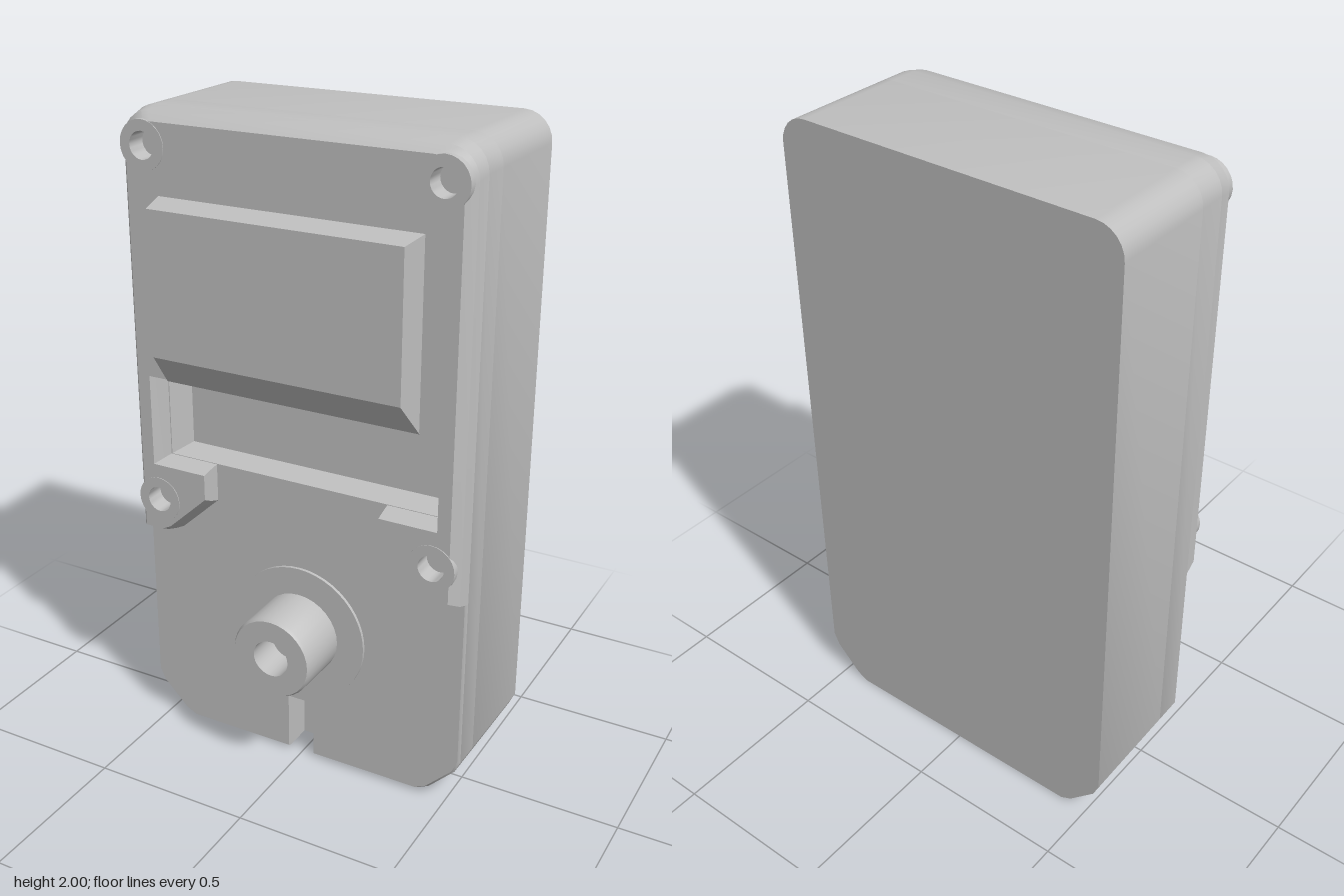
import * as THREE from 'three';
import { mergeGeometries, toCreasedNormals } from 'three/addons/utils/BufferGeometryUtils.js';

const housingGrey = new THREE.MeshStandardMaterial({ color: 0xbfbfbf });
housingGrey.name = 'housing grey';

// Mirror a right-hand half outline into a closed counter-clockwise loop
const mirror = half => [...half, ...half.slice().reverse().map(([x, y]) => [-x, y])];
const rect = (x, y0, y1) => [[-x, y0], [x, y0], [x, y1], [-x, y1]];

// Wall between loops, listed from back to front as [loop, z]
function skin(levels, inward = false) {
  const pos = [];
  for (let k = 0; k + 1 < levels.length; k++) {
    const [a, za] = levels[k], [b, zb] = levels[k + 1];
    for (let i = 0; i < a.length; i++) {
      const j = (i + 1) % a.length;
      const p = [...a[i], za], q = [...a[j], za], r = [...b[j], zb], s = [...b[i], zb];
      pos.push(...(inward ? [p, r, q, p, s, r] : [p, q, r, p, r, s]).flat());
    }
  }
  const g = new THREE.BufferGeometry();
  g.setAttribute('position', new THREE.Float32BufferAttribute(pos, 3));
  return g;
}

// Flat face filling a loop, with optional holes
function cap(loop, z, holes = [], back = false) {
  const shape = new THREE.Shape(loop.map(p => new THREE.Vector2(...p)));
  shape.holes = holes;
  const g = new THREE.ShapeGeometry(shape).toNonIndexed();
  if (back) g.rotateY(Math.PI);
  g.translate(0, 0, z);
  g.deleteAttribute('uv');
  g.deleteAttribute('normal');
  return g;
}

function mesh(name, parts) {
  const m = new THREE.Mesh(toCreasedNormals(mergeGeometries(parts), 0.5), housingGrey);
  m.name = name;
  return m;
}

// Turned part whose axis faces the front; profile is [radius, z]
function turned(name, profile, x, y, sides = 32) {
  const g = new THREE.LatheGeometry(profile.map(p => new THREE.Vector2(...p)), sides);
  g.rotateX(Math.PI / 2);
  const m = new THREE.Mesh(toCreasedNormals(g, 0.6), housingGrey);
  m.name = name;
  m.position.set(x, y, 0);
  return m;
}

// Rounded top corner, from the side round to the top edge
function corner(x, top, r, n = 6) {
  return Array.from({ length: n + 1 }, (_, i) => {
    const t = i / n * Math.PI / 2;
    return [x - r + r * Math.cos(t), top - r + r * Math.sin(t)];
  });
}

// Case outline: chamfered bottom corners, rounded top, optional bottom slot
function caseLoop(x, bottom, top, slotTop) {
  const slot = slotTop ? [[0.045, slotTop], [0.045, bottom]] : [];
  return mirror([...slot, [x - 0.135, bottom], [x - 0.1, bottom + 0.018],
    [x - 0.018, bottom + 0.1], [x, bottom + 0.14], ...corner(x, top, 0.085)]);
}

// Raised plate outline: arch with two ears around the open recess
function plateLoop(x, top, rx, ry0, ry1, ear, low) {
  return mirror([[rx, ry1], [rx, ry0], [ear, ry0], [ear, low + 0.135],
    [ear + 0.13, low + 0.015], [ear + 0.16, low], [x, low], ...corner(x, top, 0.085)]);
}

export function createModel() {
  const model = new THREE.Group();
  const BACK = -0.31, SLOT = 0.03, FLOOR = 0.05, PANEL = 0.13, FACE = 0.195;
  const screws = [[0.455, 1.9], [-0.455, 1.9], [0.455, 0.82], [-0.455, 0.82]];

  // Main case
  const backLoop = caseLoop(0.545, 0, 2);
  const midLoop = caseLoop(0.542, 0.006, 2);
  model.add(mesh('case', [
    cap(backLoop, BACK, [], true),
    skin([[backLoop, BACK], [midLoop, SLOT]]),
    cap(midLoop, SLOT),
  ]));

  // Front layer with the slot and the opening for the recess
  const panelLoop = caseLoop(0.535, 0.012, 1.995, 0.2);
  const opening = rect(0.447, 0.95, 1.197), floor = rect(0.42, 0.965, 1.17);
  model.add(mesh('frontPanel', [
    skin([[caseLoop(0.542, 0.006, 2, 0.18), SLOT], [caseLoop(0.541, 0.007, 2, 0.198), 0.12],
      [panelLoop, PANEL]]),
    cap(panelLoop, PANEL, [new THREE.Path(opening.map(p => new THREE.Vector2(...p)))]),
  ]));
  model.add(mesh('recess', [skin([[floor, FLOOR], [opening, PANEL]], true), cap(floor, FLOOR)]));

  // Raised upper plate with screw openings
  const plateTop = plateLoop(0.51, 1.968, 0.47, 0.935, 1.22, 0.29, 0.72);
  const screwHoles = screws.map(([x, y]) => new THREE.Path().absarc(x, y, 0.045, 0, Math.PI * 2, true));
  model.add(mesh('upperPlate', [
    skin([[plateLoop(0.541, 2, 0.447, 0.95, 1.197, 0.285, 0.69), 0.12],
      [plateLoop(0.535, 1.99, 0.46, 0.942, 1.21, 0.288, 0.705), 0.165],
      [plateTop, FACE]]),
    cap(plateTop, FACE, screwHoles),
  ]));

  // Screw bosses
  for (const [x, y] of screws) {
    model.add(turned('screwBoss',
      [[0.075, 0.12], [0.072, 0.197], [0.04, 0.197], [0.04, 0.135], [0, 0.135]], x, y, 24));
  }

  // Display housing with sloped sides
  const displayFace = rect(0.39, 1.32, 1.75);
  model.add(mesh('display', [
    skin([[rect(0.407, 1.215, 1.765), FACE - 0.002], [displayFace, 0.28]]),
    cap(displayFace, 0.28),
  ]));

  // Dial disc and hollow shaft
  model.add(turned('dialDisc', [[0.22, 0.125], [0.22, 0.14], [0, 0.14]], 0, 0.45, 48));
  model.add(turned('shaft', [[0.132, 0.135], [0.13, 0.3], [0.124, 0.31], [0.058, 0.31],
    [0.058, 0.2], [0, 0.2]], 0, 0.45));

  return model;
}
